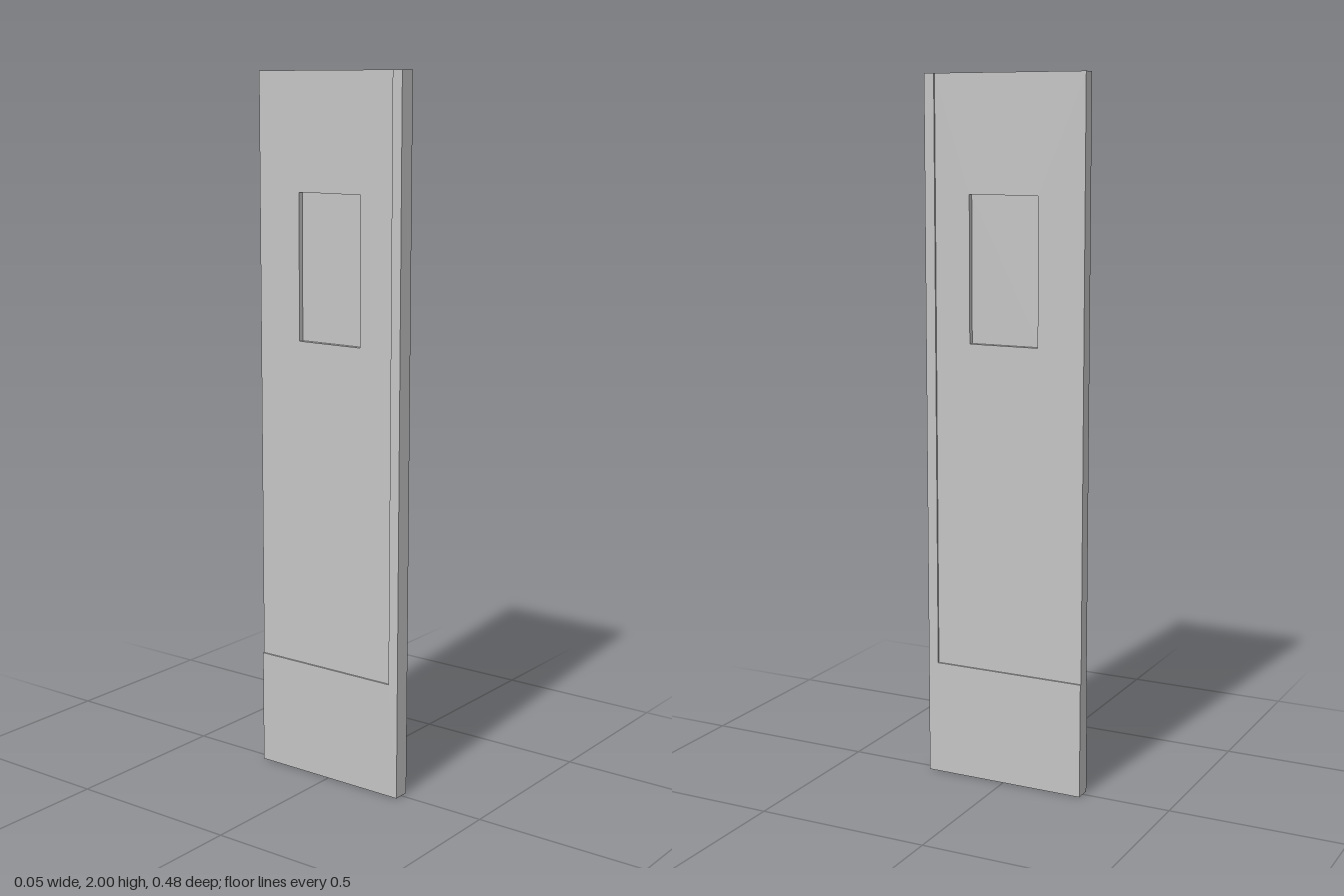
import * as THREE from 'three';

const rect = (T, z0, y0, z1, y1) => {
  const s = new T();
  s.moveTo(z0, y0).lineTo(z1, y0).lineTo(z1, y1).lineTo(z0, y1).closePath();
  return s;
};

// Extrude a (z, y) outline to a slab centred on x = 0
function slab(name, shape, thickness, material) {
  const geo = new THREE.ExtrudeGeometry(shape, { depth: thickness, bevelEnabled: false });
  geo.translate(0, 0, -thickness / 2).rotateY(-Math.PI / 2);
  const mesh = new THREE.Mesh(geo, material);
  mesh.name = name;
  return mesh;
}

export function createModel() {
  const group = new THREE.Group();
  group.name = 'doorPanel';
  const grey = new THREE.MeshStandardMaterial({ color: 0xc4c4c4 });
  grey.name = 'light grey';

  const back = -0.24, front = 0.24, stile = 0.21, kick = 0.33, top = 2;
  const win = [-0.103, 1.265, 0.105, 1.675];

  // Thick L-shaped border: bottom kick panel plus front stile
  const border = new THREE.Shape();
  border.moveTo(back, 0).lineTo(front, 0).lineTo(front, top)
    .lineTo(stile, top).lineTo(stile, kick).lineTo(back, kick).closePath();
  group.add(slab('kickPanelAndStile', border, 0.048, grey));

  // Thinner main panel with a window opening
  const panel = rect(THREE.Shape, back, kick, stile, top);
  panel.holes.push(rect(THREE.Path, ...win));
  group.add(slab('mainPanel', panel, 0.038, grey));

  // Pane recessed from both sides
  group.add(slab('windowPane', rect(THREE.Shape, ...win), 0.008, grey));
  return group;
}
